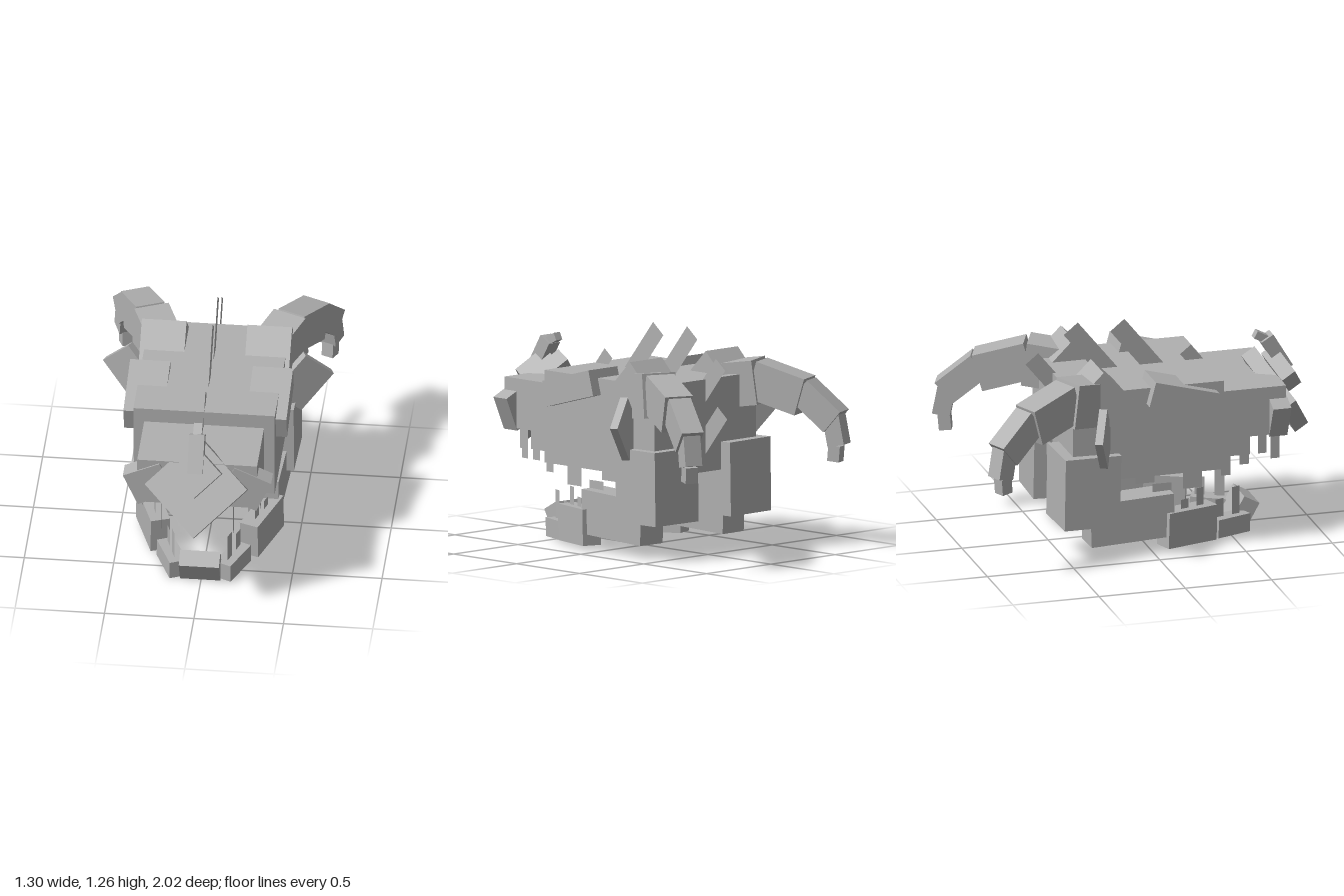
import * as THREE from 'three';

const stone = new THREE.MeshStandardMaterial({ color: 0xb0b0b0 });
stone.name = 'grey';
const thin = new THREE.MeshStandardMaterial({ color: 0xb0b0b0, side: THREE.DoubleSide });
thin.name = 'grey thin';

const rad = THREE.MathUtils.degToRad;

export function createModel() {
  const root = new THREE.Group();
  root.name = 'dragonHead';
  const head = new THREE.Group();
  head.name = 'head';
  head.position.x = -0.005;
  root.add(head);

  // rotations in degrees, applied yaw, then pitch, then roll
  function put(name, geo, mat, pos, rot) {
    const m = new THREE.Mesh(geo, mat);
    m.name = name;
    m.position.set(...pos);
    m.rotation.set(rad(rot[0]), rad(rot[1]), rad(rot[2]), 'YXZ');
    head.add(m);
  }
  const box = (name, size, pos, rot = [0, 0, 0]) =>
    put(name, new THREE.BoxGeometry(...size), stone, pos, rot);
  function pair(name, size, pos, rot = [0, 0, 0]) {
    box(name + 'Left', size, pos, rot);
    box(name + 'Right', size, [-pos[0], pos[1], pos[2]], [rot[0], -rot[1], -rot[2]]);
  }
  // flat plate standing in the y-z plane
  function plate(name, w, h, pos, pitch = 0, yaw = 0) {
    const g = new THREE.PlaneGeometry(w, h).rotateY(Math.PI / 2);
    put(name, g, thin, pos, [pitch, yaw, 0]);
  }

  // skull and snout
  box('skull', [0.79, 0.52, 0.875], [0, 0.725, -0.037]);
  box('snout', [0.67, 0.28, 0.38], [0, 0.76, 0.59]);
  pair('upperLip', [0.11, 0.135, 0.17], [0.28, 0.583, 0.485]);
  pair('snoutCheek', [0.225, 0.205, 0.105], [0.27, 0.745, 0.735], [0, 0, -24]);

  // nose plates and nose horn
  box('nosePlate', [0.405, 0.405, 0.09], [0, 0.763, 0.813], [-33, 0, 45]);
  box('noseBoss', [0.205, 0.205, 0.09], [0, 0.885, 0.85], [-33, 0, 45]);
  box('noseHornBase', [0.086, 0.22, 0.08], [0, 0.985, 0.815], [-31, 0, 0]);
  box('noseHornTip', [0.048, 0.11, 0.045], [0, 1.075, 0.745], [-62, 0, 0]);

  // brows, crests and ears
  pair('brow', [0.225, 0.145, 0.38], [0.343, 0.914, 0.155], [15, 0, 0]);
  pair('crest', [0.25, 0.2, 0.295], [0.295, 0.933, -0.27], [45, 0, 0]);
  pair('ear', [0.225, 0.28, 0.045], [0.475, 0.74, -0.32], [0, 25, -43]);

  // curved horns: [width, height, length, z, y, downward angle]
  const yaw = 23;
  [
    [0.2, 0.25, 0.24, -0.405, 0.925, -8],
    [0.165, 0.215, 0.3, -0.625, 0.914, 16],
    [0.13, 0.155, 0.26, -0.84, 0.825, 40],
    [0.1, 0.1, 0.17, -0.933, 0.69, 79],
    [0.07, 0.07, 0.09, -0.93, 0.56, 95],
  ].forEach(([w, h, l, z, y, a], i) => {
    const x = 0.455 + (-0.66 - z) * Math.tan(rad(yaw));
    pair('hornSegment' + (i + 1), [w, h, l], [x, y, z], [-a, -yaw, 0]);
  });

  // lower jaw
  pair('jawHinge', [0.325, 0.415, 0.325], [0.282, 0.413, -0.378], [1, -2, 0]);
  pair('jawRear', [0.17, 0.25, 0.49], [0.31, 0.212, -0.13], [-2, -2, 0]);
  pair('jawMiddle', [0.11, 0.205, 0.33], [0.304, 0.128, 0.216], [2, -20, 0]);
  pair('jawFront', [0.1, 0.105, 0.23], [0.171, 0.06, 0.495], [2, -24, 0]);
  box('chin', [0.225, 0.155, 0.1], [0, 0.098, 0.61], [29, 0, 0]);

  // teeth: [x, z, bottom, top, width, yaw]
  const teeth = [
    ['upperTooth', 0.2, 0.755, 0.43, 0.63, 0.05, 0],
    ['upperTooth', 0.32, 0.645, 0.51, 0.63, 0.05, 0],
    ['upperTooth', 0.32, 0.54, 0.455, 0.52, 0.055, 0],
    ['upperTooth', 0.32, 0.435, 0.4, 0.52, 0.055, 0],
    ['upperTooth', 0.32, 0.24, 0.345, 0.47, 0.11, 0],
    ['upperTooth', 0.32, -0.035, 0.4, 0.47, 0.11, 0],
    ['lowerTooth', 0.158, 0.54, 0.1, 0.27, 0.055, -20],
    ['lowerTooth', 0.195, 0.435, 0.1, 0.22, 0.055, -20],
    ['lowerTooth', 0.285, 0.295, 0.22, 0.33, 0.05, -20],
    ['lowerTooth', 0.325, 0.195, 0.22, 0.285, 0.05, -20],
    ['lowerTooth', 0.32, 0.065, 0.33, 0.39, 0.11, 0],
  ];
  for (const [name, x, z, y0, y1, w, turn] of teeth) {
    for (const s of [1, -1]) {
      plate(name, w, y1 - y0, [s * x, (y0 + y1) / 2, z], 0, s * turn);
    }
  }

  // spines along the midline, leaning back: [tip z, tip y, width, length]
  for (const [z, y, w, l] of [
    [0.295, 1.048, 0.08, 0.2],
    [-0.1, 1.23, 0.105, 0.4],
    [-0.37, 1.235, 0.105, 0.4],
    [-0.595, 1.08, 0.095, 0.28],
    [-0.61, 0.81, 0.1, 0.28],
  ]) {
    const a = rad(39);
    plate('spine', w, l, [0, y - Math.cos(a) * l / 2, z + Math.sin(a) * l / 2], -39);
  }
  return root;
}
